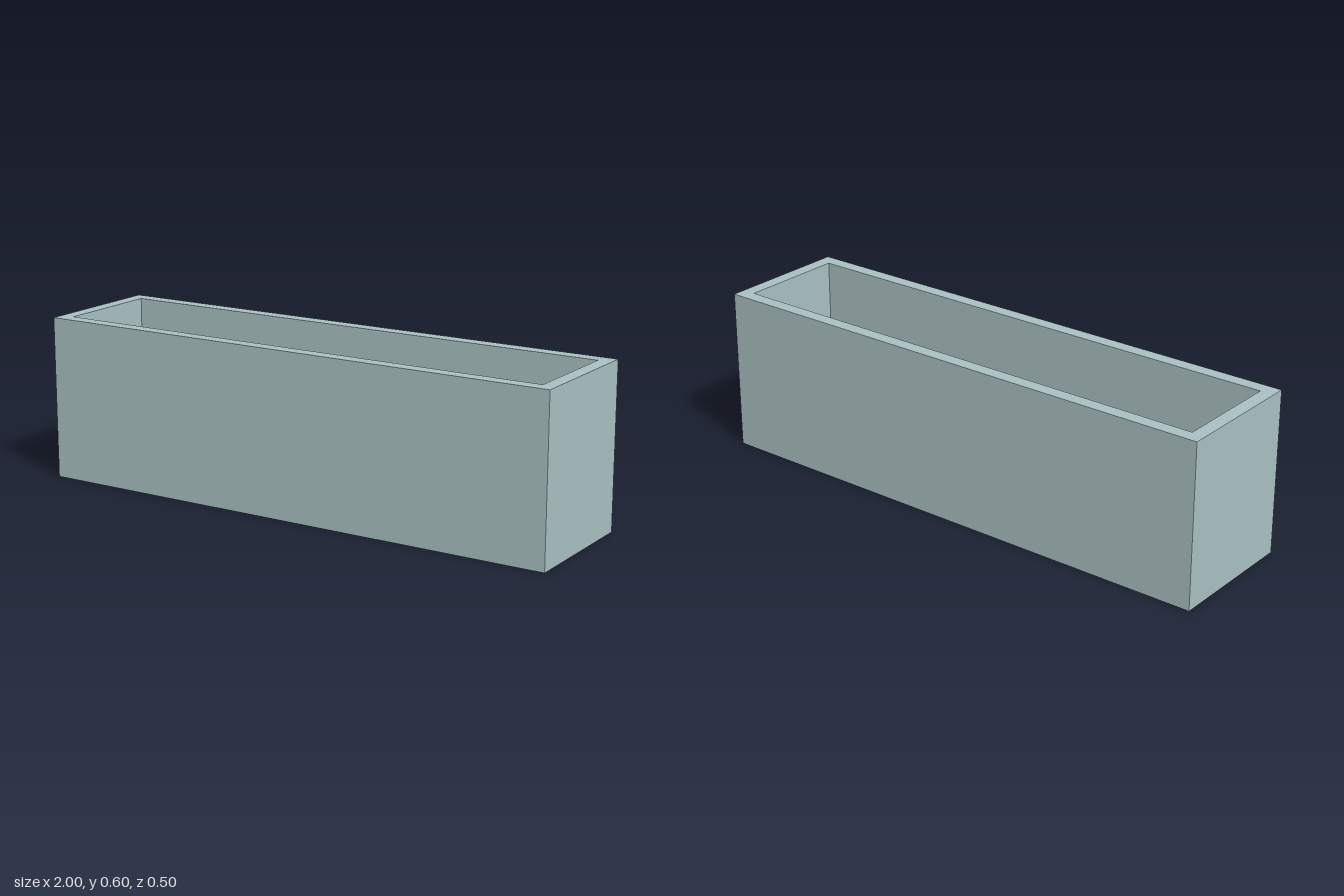
import * as THREE from 'three';

const LENGTH = 2, DEPTH = 0.5, HEIGHT = 0.6, WALL = 0.05;

// Rectangle of four corners at height y, inset from the outer outline
function ring(inset, y) {
  const x = LENGTH / 2 - inset, z = DEPTH / 2 - inset;
  return [[-x, y, z], [x, y, z], [x, y, -z], [-x, y, -z]];
}

// One closed skin: underside, outer walls, rim, inner walls, floor
function troughGeometry() {
  const rings = [ring(0, 0), ring(0, HEIGHT), ring(WALL, HEIGHT), ring(WALL, WALL)];
  const positions = [];
  const quad = (a, b, c, d) => positions.push(...[a, b, c, a, c, d].flat());

  for (let r = 0; r < rings.length - 1; r++) {
    for (let i = 0; i < 4; i++) {
      const j = (i + 1) % 4;
      quad(rings[r][i], rings[r][j], rings[r + 1][j], rings[r + 1][i]);
    }
  }
  quad(...[...rings[0]].reverse()); // underside
  quad(...rings[3]); // inner floor

  const geometry = new THREE.BufferGeometry();
  geometry.setAttribute('position', new THREE.Float32BufferAttribute(positions, 3));
  geometry.computeVertexNormals();
  return geometry;
}

export function createModel() {
  const group = new THREE.Group();
  group.name = 'planter';

  const trough = new THREE.Mesh(
    troughGeometry(),
    new THREE.MeshStandardMaterial({ color: 0xa9c0c2 })
  );
  trough.name = 'trough';
  group.add(trough);

  return group;
}
